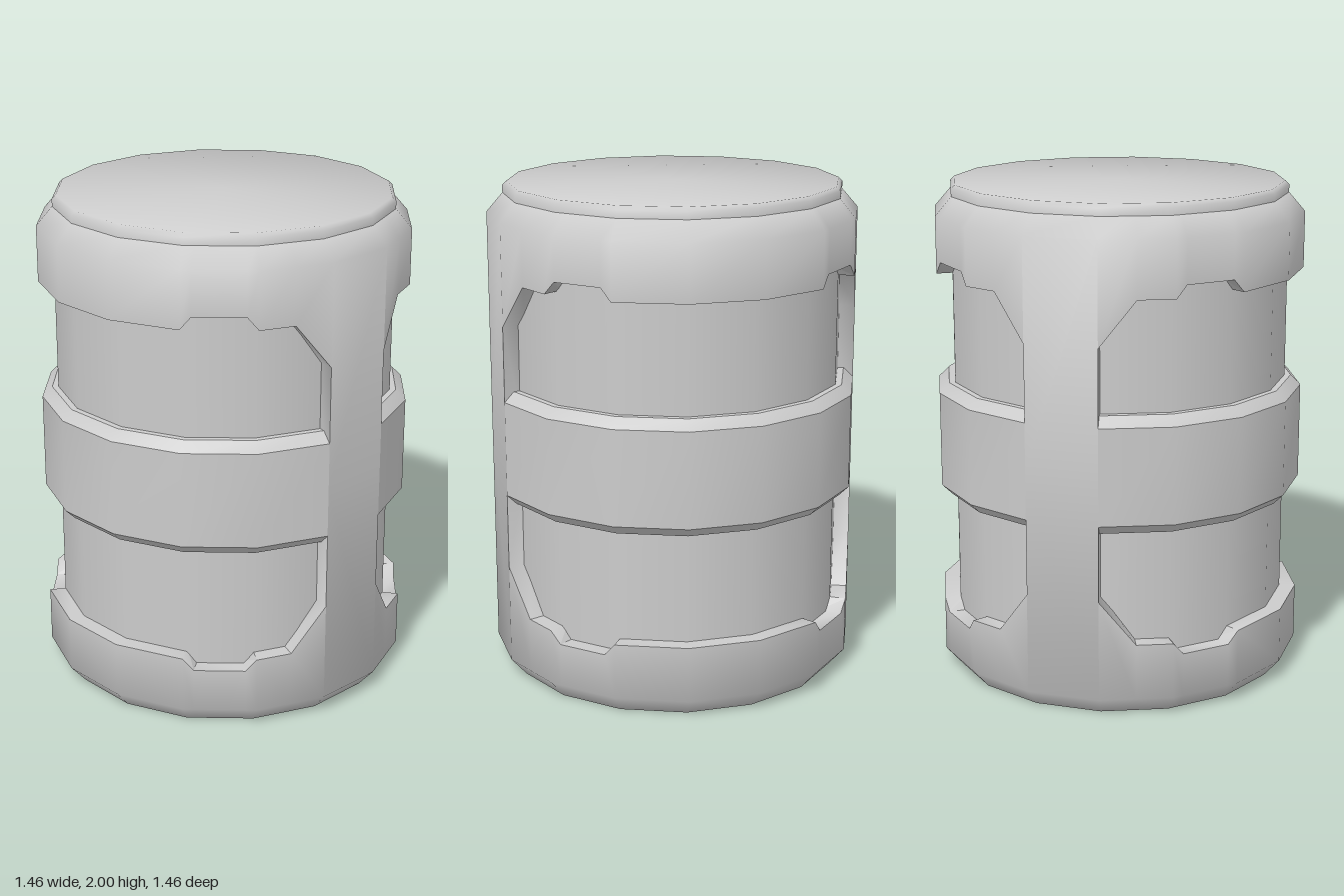
import * as THREE from 'three';
import { toCreasedNormals } from 'three/addons/utils/BufferGeometryUtils.js';

const SIDES = 16;
const R_OUT = 0.745, R_CORE = 0.68, R_HIDDEN = 0.65;
const MIRROR_Y = 1.955; // the lower shell is the upper one under y -> MIRROR_Y - y

// Point on a 16-sided ring; u counts facets from the front, facet centres at whole numbers
function ringPoint(u, r, y) {
  const k = Math.floor(u - 0.5), t = u - 0.5 - k;
  const corner = (n) => {
    const a = ((n + 0.5) * 2 * Math.PI) / SIDES;
    return new THREE.Vector3(Math.sin(a) * r, y, Math.cos(a) * r);
  };
  return corner(k).lerp(corner(k + 1), t);
}

// Skin a row of profiles, one per station around the ring
function loft(columns, crease, mirrored = false) {
  const pos = [];
  const tri = (a, b, c) => {
    if (new THREE.Triangle(a, b, c).getArea() < 1e-7) return;
    for (const p of mirrored ? [a, c, b] : [a, b, c]) {
      pos.push(p.x, mirrored ? MIRROR_Y - p.y : p.y, p.z);
    }
  };
  for (let i = 0; i < columns.length - 1; i++) {
    const p = columns[i], q = columns[i + 1];
    for (let j = 0; j < p.length - 1; j++) {
      tri(p[j], q[j], q[j + 1]);
      tri(p[j], q[j + 1], p[j + 1]);
    }
  }
  const g = new THREE.BufferGeometry();
  g.setAttribute('position', new THREE.Float32BufferAttribute(pos, 3));
  return toCreasedNormals(g, THREE.MathUtils.degToRad(crease));
}

const column = (u, profile) => profile.map(([r, y]) => ringPoint(u, r, y));

export function createModel() {
  const model = new THREE.Group();
  model.name = 'canister';
  const material = new THREE.MeshStandardMaterial({ color: 0xcccccc });
  const add = (name, geometry) => {
    const mesh = new THREE.Mesh(geometry, material);
    mesh.name = name;
    model.add(mesh);
  };

  // Recessed core seen through the windows
  add('core', new THREE.CylinderGeometry(R_CORE, R_CORE, 1.8, SIDES, 1, true, Math.PI / SIDES)
    .translate(0, MIRROR_Y / 2, 0));

  // Window edge from the strut to the side: strut wall, slanted corner, notch
  const quarter = [
    [0.5, MIRROR_Y / 2], [0.5, 1.475], [1, 1.655], [1.5, 1.655],
    [1.65, 1.705], [2.35, 1.705], [2.5, 1.655], [3.5, 1.655],
  ];
  const half = [...quarter, ...quarter.map(([u, y]) => [8 - u, y]).reverse()];
  const edge = [...half, ...half.map(([u, y]) => [u + 8, y]), [SIDES + 0.5, MIRROR_Y / 2]];

  // End caps with their front and back struts
  const capColumns = edge.map(([u, y]) => column(u, [
    [R_HIDDEN, y], [R_OUT, y], [R_OUT, 1.88], [R_CORE, MIRROR_Y], [0, MIRROR_Y],
  ]));
  add('upperCapAndStruts', loft(capColumns, 50));
  add('lowerCapAndStruts', loft(capColumns, 50, true));

  // Raised lid
  const lidColumns = [];
  for (let i = 0; i <= SIDES; i++) {
    lidColumns.push(column(i + 0.5, [[0.68, 1.94], [0.68, 1.985], [0.665, 2], [0, 2]]));
  }
  add('lid', loft(lidColumns, 50));

  // Chamfered middle band, one half on each side between the struts
  const bandProfile = [
    [R_HIDDEN, 0.745], [0.705, 0.745], [R_OUT, 0.785],
    [R_OUT, 1.17], [0.705, 1.21], [R_HIDDEN, 1.21],
  ];
  for (const [name, start] of [['leftBand', 0.5], ['rightBand', 8.5]]) {
    const columns = [];
    for (let i = 0; i <= 7; i++) columns.push(column(start + i, bandProfile));
    add(name, loft(columns, 30));
  }

  return model;
}
